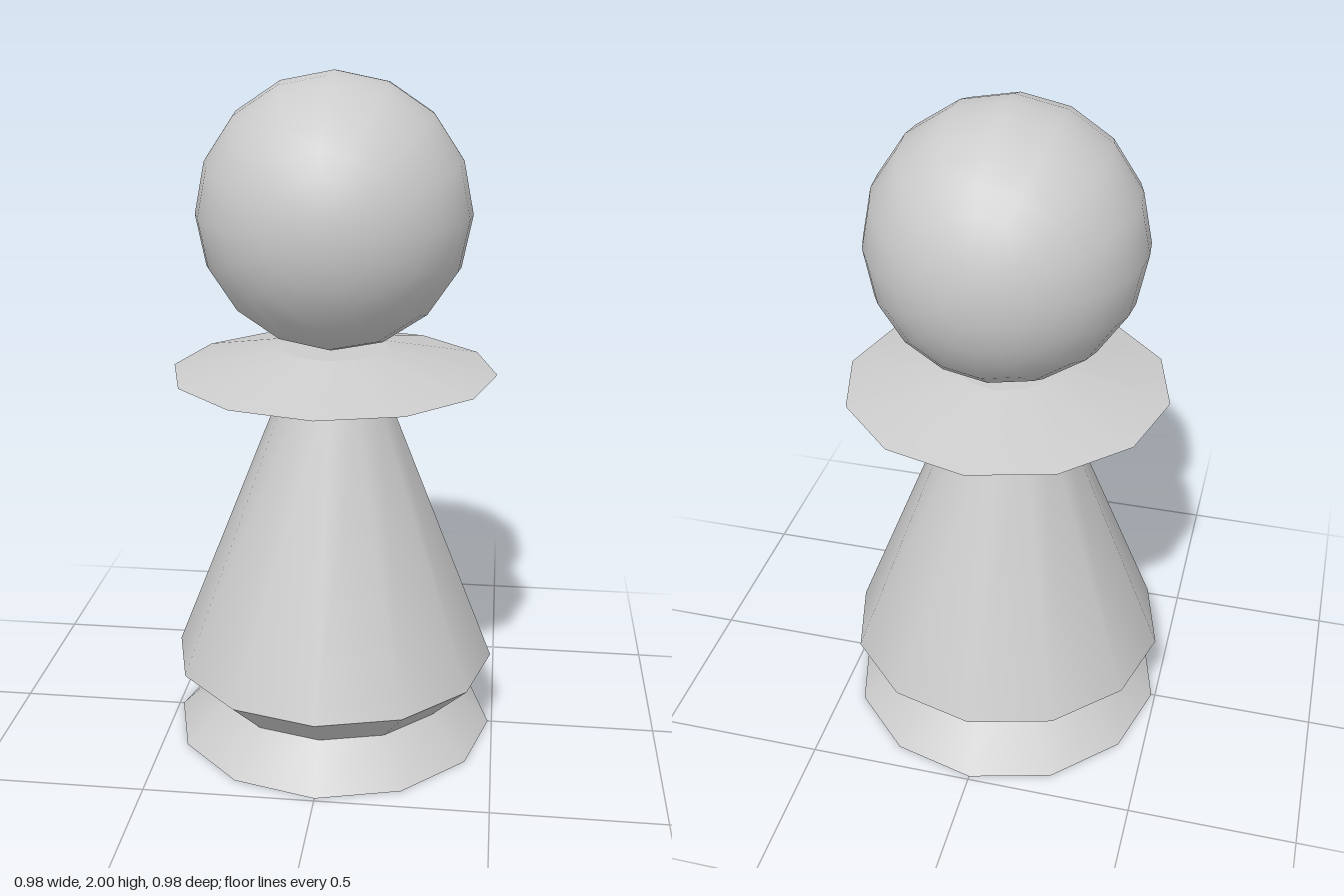
import * as THREE from 'three';

const SIDES = 12;

export function createModel() {
  const model = new THREE.Group();
  const material = new THREE.MeshStandardMaterial({ color: 0xcccccc, side: THREE.DoubleSide });

  // Rings of the hollow body, bottom to top: [radius, height]
  const rings = [[0.488, 0], [0.37, 0.12], [0.488, 0.235], [0.163, 1.06], [0.478, 1.14], [0.16, 1.212]];
  const names = ['baseFlare', 'baseUndercut', 'taperedBody', 'collarUnderside', 'collarTop'];

  // One open band per pair of rings keeps the edges between them sharp
  names.forEach((name, i) => {
    const [r0, y0] = rings[i];
    const [r1, y1] = rings[i + 1];
    const band = new THREE.Mesh(new THREE.CylinderGeometry(r1, r0, y1 - y0, SIDES, 1, true), material);
    band.name = name;
    band.position.y = (y0 + y1) / 2;
    model.add(band);
  });

  // Flat seat under the head
  const [seatRadius, seatHeight] = rings[rings.length - 1];
  const seat = new THREE.Mesh(new THREE.CircleGeometry(seatRadius, SIDES).rotateX(-Math.PI / 2), material);
  seat.name = 'headSeat';
  seat.position.y = seatHeight;
  model.add(seat);

  // Round head with its poles facing front and back
  const head = new THREE.Mesh(new THREE.SphereGeometry(0.395, 16, 16).rotateX(Math.PI / 2), material);
  head.name = 'head';
  head.position.set(0, 1.605, -0.008);
  model.add(head);

  return model;
}
